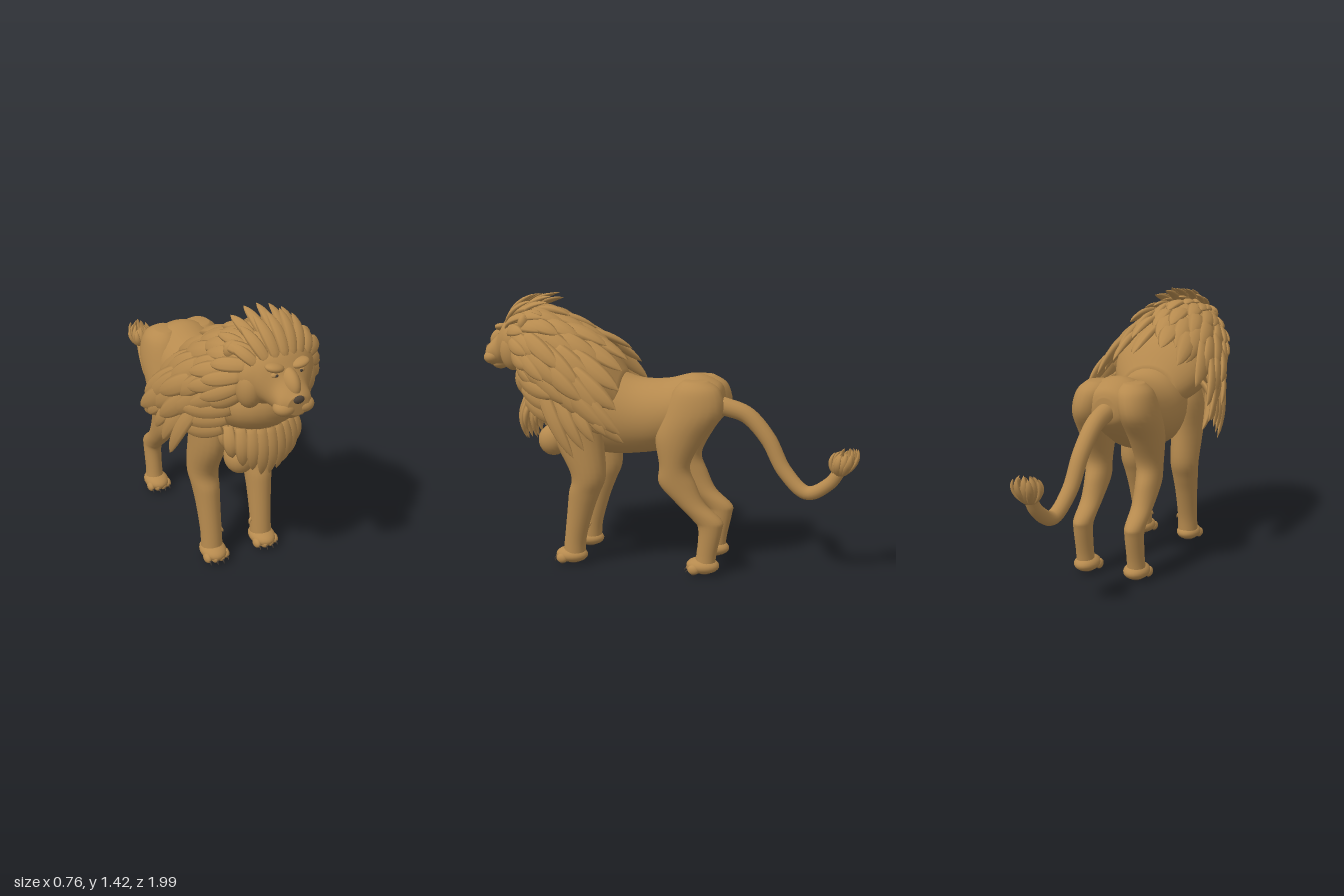
import * as THREE from 'three';
import { mergeGeometries } from 'three/addons/utils/BufferGeometryUtils.js';

const V = (x, y, z) => new THREE.Vector3(x, y, z);
const fur = new THREE.MeshStandardMaterial({ color: 0xb68a4e });
fur.name = 'tan fur';
const dark = new THREE.MeshStandardMaterial({ color: 0x4c4136 });
dark.name = 'dark skin';

// Closed skin over elliptical sections {c, u, v}, where u x v points along the path
function skin(sections, sides) {
  const pos = [], idx = [], n = sections.length;
  for (const { c, u, v } of sections)
    for (let j = 0; j < sides; j++) {
      const a = (j / sides) * Math.PI * 2;
      const p = c.clone().addScaledVector(u, Math.cos(a)).addScaledVector(v, Math.sin(a));
      pos.push(p.x, p.y, p.z);
    }
  const first = n * sides, last = first + 1;
  pos.push(...sections[0].c.toArray(), ...sections[n - 1].c.toArray());
  for (let j = 0; j < sides; j++) {
    const k = (j + 1) % sides;
    for (let i = 0; i < n - 1; i++) {
      const a = i * sides + j, b = i * sides + k;
      idx.push(a, b, a + sides, b, b + sides, a + sides);
    }
    idx.push(first, k, j, last, (n - 1) * sides + j, (n - 1) * sides + k);
  }
  const g = new THREE.BufferGeometry();
  g.setAttribute('position', new THREE.Float32BufferAttribute(pos, 3));
  g.setIndex(idx);
  g.computeVertexNormals();
  return g;
}

// Smoothly interpolates a short table of numbers
function smoothRows(rows, per) {
  const out = [];
  const cr = (a, b, c, d, t) => 0.5 * (2 * b + (c - a) * t + (2 * a - 5 * b + 4 * c - d) * t * t + (3 * b - a - 3 * c + d) * t * t * t);
  for (let i = 0; i < rows.length - 1; i++)
    for (let s = 0; s < per; s++) {
      const [a, b, c, d] = [rows[Math.max(i - 1, 0)], rows[i], rows[i + 1], rows[Math.min(i + 2, rows.length - 1)]];
      out.push(b.map((_, k) => cr(a[k], b[k], c[k], d[k], s / per)));
    }
  out.push(rows[rows.length - 1]);
  return out;
}

// Rows [z, y, rx, ry], back to front
const loftZ = rows => skin(smoothRows(rows, 5).map(([z, y, rx, ry]) =>
  ({ c: V(0, y, z), u: V(rx, 0, 0), v: V(0, ry, 0) })), 32);
// Rows [y, x, z, rx, rz], top to bottom
const loftY = (rows, s) => skin(smoothRows(rows, 5).map(([y, x, z, rx, rz]) =>
  ({ c: V(x * s, y, z), u: V(rx, 0, 0), v: V(0, 0, rz) })), 20);

// Sweeps a changing ellipse along a curve; size(t) gives [width, thickness]
function sweep(curve, normal, steps, sides, size) {
  const sections = [];
  for (let i = 0; i <= steps; i++) {
    const t = i / steps, tan = curve.getTangent(t);
    const u = normal.clone().cross(tan).normalize();
    const v = tan.clone().cross(u);
    const [w, h] = size(t);
    sections.push({ c: curve.getPoint(t), u: u.multiplyScalar(w), v: v.multiplyScalar(h) });
  }
  return skin(sections, sides);
}

// One pointed, leaf-shaped lock of hair
function lock(root, tip, normal, width, bulge, thick = 0.42) {
  const n = normal.clone().normalize();
  const mid = root.clone().lerp(tip, 0.5).addScaledVector(n, bulge);
  return sweep(new THREE.QuadraticBezierCurve3(root, mid, tip), n, 10, 8, t => {
    const w = width * (0.45 + 1.1 * t) * Math.pow(1 - t, 0.75) * 1.2 + 0.0005;
    return [w, w * thick];
  });
}

export function createModel() {
  const lion = new THREE.Group();
  lion.name = 'lion';
  const add = (name, geo, mat = fur) => {
    const m = new THREE.Mesh(geo, mat);
    m.name = name;
    lion.add(m);
    return m;
  };
  const ball = (name, x, y, z, rx, ry, rz, mat = fur) => {
    const m = add(name, new THREE.SphereGeometry(1, 24, 16), mat);
    m.position.set(x, y, z);
    m.scale.set(rx, ry, rz);
    return m;
  };
  let seed = 7;
  const rnd = () => ((seed = (seed * 16807) % 2147483647) / 2147483647) * 2 - 1;

  // Torso, neck and head
  add('body', loftZ([
    [-0.30, 0.89, 0.05, 0.05], [-0.27, 0.89, 0.12, 0.10], [-0.15, 0.87, 0.175, 0.162], [0, 0.815, 0.185, 0.185],
    [0.15, 0.80, 0.185, 0.2], [0.3, 0.82, 0.19, 0.23], [0.45, 0.85, 0.195, 0.24], [0.56, 0.86, 0.17, 0.22], [0.62, 0.87, 0.08, 0.1]]));
  ball('neck', 0, 0.985, 0.61, 0.235, 0.155, 0.21);
  add('head', loftZ([
    [0.5, 1.13, 0.1, 0.1], [0.58, 1.15, 0.165, 0.17], [0.70, 1.17, 0.192, 0.175], [0.80, 1.175, 0.185, 0.15],
    [0.86, 1.17, 0.14, 0.122], [0.91, 1.125, 0.092, 0.09], [0.96, 1.1, 0.08, 0.066], [0.985, 1.1, 0.05, 0.045]]));
  ball('chin', 0, 1.05, 0.92, 0.05, 0.035, 0.045);
  ball('noseBridge', 0, 1.175, 0.905, 0.04, 0.06, 0.075).rotation.x = 0.6;
  ball('nose', 0, 1.13, 0.987, 0.026, 0.018, 0.013, dark);

  for (const s of [-1, 1]) {
    // Face
    ball('muzzle', s * 0.045, 1.083, 0.946, 0.052, 0.037, 0.046);
    ball('cheek', s * 0.13, 1.13, 0.79, 0.062, 0.1, 0.07);
    ball('brow', s * 0.062, 1.245, 0.88, 0.045, 0.02, 0.035).rotation.z = s * 0.2;
    ball('eye', s * 0.062, 1.213, 0.885, 0.022, 0.014, 0.016);
    ball('pupil', s * 0.06, 1.214, 0.899, 0.008, 0.007, 0.004, dark);
    ball('ear', s * 0.17, 1.28, 0.71, 0.045, 0.045, 0.03);
    ball('chest', s * 0.068, 0.655, 0.605, 0.073, 0.083, 0.08);

    // Legs
    add('frontLeg', loftY([
      [1.0, 0.12, 0.42, 0.04, 0.06], [0.85, 0.145, 0.43, 0.08, 0.13], [0.68, 0.15, 0.43, 0.082, 0.13],
      [0.5, 0.152, 0.385, 0.077, 0.093], [0.4, 0.148, 0.41, 0.068, 0.083], [0.3, 0.145, 0.435, 0.06, 0.07],
      [0.15, 0.142, 0.465, 0.054, 0.058], [0.05, 0.142, 0.475, 0.056, 0.06]], s));
    add('hindLeg', loftY([
      [1.01, 0.1, -0.17, 0.05, 0.06], [0.96, 0.11, -0.18, 0.09, 0.12], [0.85, 0.13, -0.165, 0.095, 0.15],
      [0.72, 0.14, -0.1, 0.086, 0.125], [0.58, 0.145, -0.075, 0.07, 0.08], [0.48, 0.145, -0.09, 0.063, 0.097],
      [0.38, 0.145, -0.16, 0.055, 0.075], [0.3, 0.145, -0.245, 0.05, 0.078], [0.25, 0.145, -0.262, 0.047, 0.062],
      [0.12, 0.145, -0.245, 0.045, 0.052], [0.05, 0.145, -0.235, 0.05, 0.056]], s));

    // Paws with toes, claws and pads
    for (const [end, z] of [['front', 0.488], ['hind', -0.225]]) {
      const x = s * 0.142;
      ball(end + 'Paw', x, 0.052, z, 0.066, 0.042, 0.086);
      ball(end + 'Pad', x, 0.016, z - 0.01, 0.034, 0.012, 0.032, dark);
      for (let i = 0; i < 4; i++) {
        const a = i - 1.5, tx = x + a * 0.033, tz = z + 0.06 - Math.abs(a) * 0.014;
        ball(end + 'Toe', tx, 0.04, tz, 0.02, 0.026, 0.031);
        ball(end + 'ToePad', tx, 0.018, tz, 0.01, 0.01, 0.013, dark);
        add(end + 'Claw', lock(V(tx, 0.042, tz + 0.022), V(tx, 0.02, tz + 0.042), V(0, 1, 0.5), 0.004, 0.006, 1), dark);
      }
    }
    add('dewclaw', lock(V(s * 0.1, 0.16, 0.46), V(s * 0.076, 0.125, 0.47), V(-s, 0.4, 0), 0.01, 0.01, 1));
  }

  // Mane rings [y, z, rx, ry], face to shoulders
  const rings = [[1.15, 0.79, 0.19, 0.18], [1.11, 0.66, 0.285, 0.25], [1.04, 0.5, 0.325, 0.27],
    [0.97, 0.35, 0.34, 0.245], [0.91, 0.15, 0.345, 0.19]];
  const onMane = (t, a, k = 1) => {
    const i = Math.min(Math.floor(t), 3), f = t - i;
    const [y, z, rx, ry] = rings[i].map((v, q) => v + (rings[i + 1][q] - v) * f);
    return V(rx * k * Math.sin(a), y + ry * k * Math.cos(a), z + 0.04 * Math.cos(a));
  };
  add('maneBase', loftZ([[0.22, 0.9, 0.15, 0.12], [0.32, 0.97, 0.24, 0.19], [0.45, 1.03, 0.275, 0.23],
    [0.58, 1.08, 0.265, 0.235], [0.68, 1.13, 0.225, 0.215], [0.76, 1.16, 0.18, 0.175]]));

  // Overlapping rows of mane locks: [root ring, tip ring, count, widest angle, width]
  const rows = [[0.1, 1.0, 13, 2.0, 0.047], [0.45, 1.6, 14, 2.1, 0.053], [1.0, 2.3, 13, 2.1, 0.06],
    [1.55, 2.95, 14, 2.05, 0.065], [2.1, 3.5, 13, 2.0, 0.068], [2.6, 4, 12, 1.95, 0.068]];
  rows.forEach(([t0, t1, count, spread, width]) => {
    const locks = [];
    for (let i = 0; i < count; i++) {
      const a = ((i / (count - 1)) * 2 - 1) * spread;
      const root = onMane(t0, a, 0.9);
      const tip = onMane(Math.min(t1 + rnd() * 0.15, 4), a + rnd() * 0.06, 1.06 + 0.05 * rnd());
      tip.y -= 0.12 * Math.sin(a) ** 2 * (t1 / 4) + 0.02 * rnd();
      locks.push(lock(root, tip, V(Math.sin(a), Math.cos(a), 0.25), width, 0.035));
    }
    add('maneLocks', mergeGeometries(locks));
  });

  // Side locks: swept back beside the neck, and hanging over the shoulders
  const side = [];
  for (const s of [-1, 1]) {
    for (let i = 0; i < 3; i++)
      side.push(lock(V(s * (0.19 + i * 0.01), 1.0 - i * 0.055, 0.73 - i * 0.02), V(s * (0.33 - i * 0.02), 0.93 - i * 0.07, 0.5 - i * 0.02),
        V(s, -0.1, 0.5), 0.055, 0.05));
    for (let i = 0; i < 4; i++)
      side.push(lock(V(s * 0.26, 1.0 - i * 0.02, 0.6 - i * 0.08), V(s * (0.335 + i * 0.01), 0.63 + i * 0.045, 0.4 - i * 0.06),
        V(s, 0.1, 0.2), 0.056, 0.06));
  }
  add('sideLocks', mergeGeometries(side));

  // Crest over the forehead
  const crest = [];
  for (let r = 0; r < 2; r++)
    for (let i = 0; i < 7; i++) {
      const a = i / 3 - 1, k = 1 - a * a;
      crest.push(lock(V(a * 0.12, 1.25 + 0.03 * k + r * 0.04, 0.83 + 0.03 * k - r * 0.08),
        V(a * 0.19, 1.32 + 0.11 * k + rnd() * 0.01, 0.69 - r * 0.09), V(a * 0.5, 0.7, 0.8), 0.037, 0.05));
    }
  add('crest', mergeGeometries(crest));

  // Bib of hair below the neck
  const bib = [];
  for (let r = 0; r < 2; r++)
    for (let i = 0; i < 9; i++) {
      const a = i / 4 - 1;
      bib.push(lock(V(a * 0.17, 0.88, 0.77 - r * 0.06 - 0.09 * a * a),
        V(a * 0.16, 0.64 + 0.08 * a * a + r * 0.02 + rnd() * 0.012, 0.77 - r * 0.06 - 0.06 * a * a), V(a * 0.6, 0, 1), 0.042, 0.05));
    }
  add('bib', mergeGeometries(bib));

  // Tail and tuft
  const tail = new THREE.CatmullRomCurve3([V(0, 0.88, -0.22), V(0, 0.86, -0.32), V(0, 0.825, -0.42), V(0.01, 0.71, -0.53),
    V(0.025, 0.55, -0.62), V(0.05, 0.45, -0.74), V(0.065, 0.51, -0.85), V(0.07, 0.59, -0.905)]);
  add('tail', sweep(tail, V(1, 0, 0), 48, 16, t => [0.05 - 0.02 * t, 0.05 - 0.02 * t]));
  ball('tuftCore', 0.07, 0.61, -0.915, 0.045, 0.045, 0.045);
  const tuft = [];
  for (let i = 0; i < 14; i++) {
    const a = (i / 14) * Math.PI * 2, c = Math.cos(a), d = Math.sin(a), r = i % 2 ? 0.056 : 0.03;
    tuft.push(lock(V(0.07 + c * 0.022, 0.565, -0.9 + d * 0.022), V(0.07 + c * r, 0.685 + rnd() * 0.012 - d * 0.01, -0.93 + d * r),
      V(c, 0, d), 0.024, 0.05, 0.6));
  }
  add('tailTuft', mergeGeometries(tuft));
  return lion;
}
